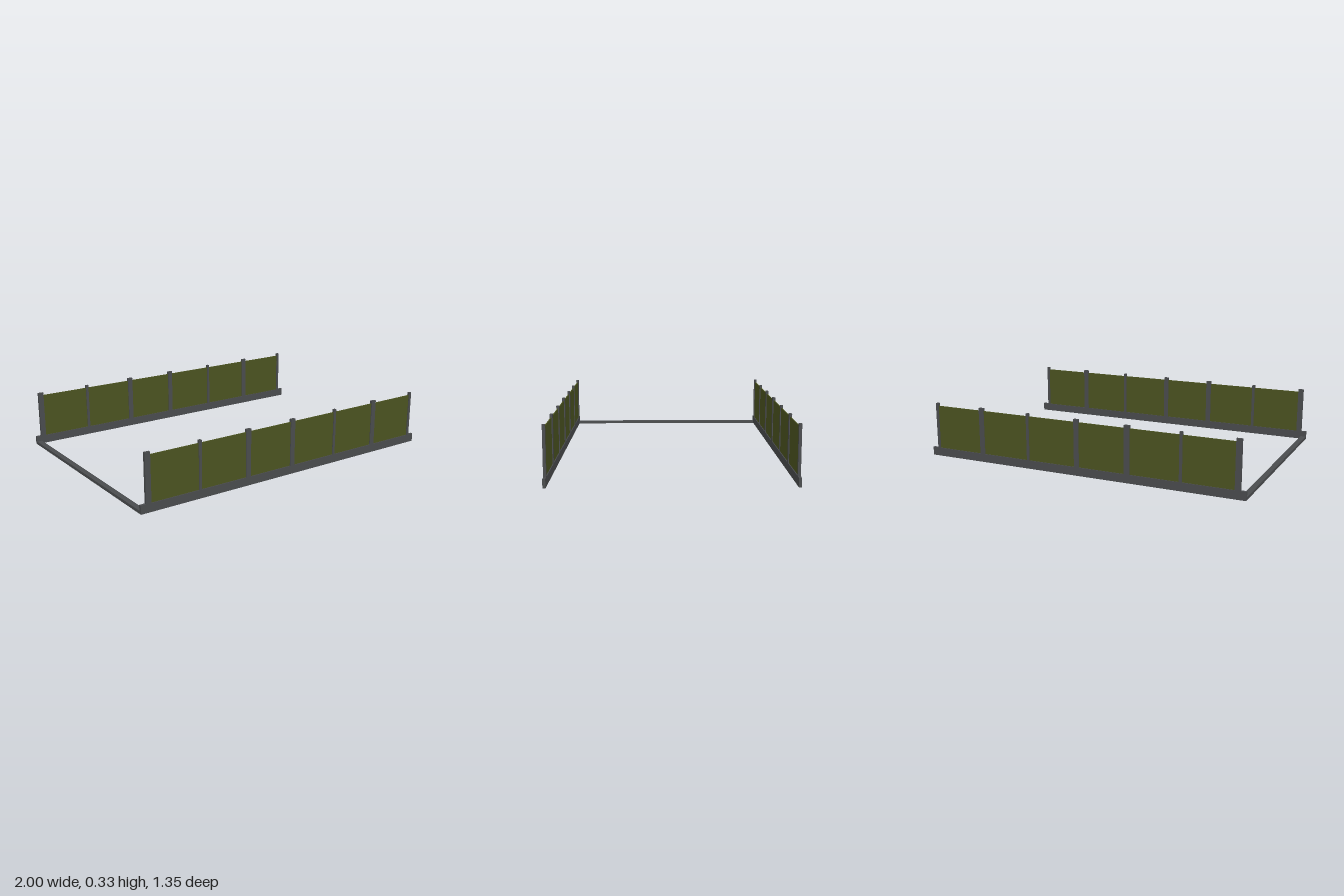
import * as THREE from 'three';

const steel = new THREE.MeshStandardMaterial({ color: 0x4a4c4e });
steel.name = 'steel grey';
const olive = new THREE.MeshStandardMaterial({ color: 0x4b5320 });
olive.name = 'olive green';

// Box given by its minimum and maximum on each axis
function box(name, material, [x0, x1], [y0, y1], [z0, z1]) {
  const mesh = new THREE.Mesh(new THREE.BoxGeometry(x1 - x0, y1 - y0, z1 - z0), material);
  mesh.position.set((x0 + x1) / 2, (y0 + y1) / 2, (z0 + z1) / 2);
  mesh.name = name;
  return mesh;
}

// Left and right edges of each post; wide and narrow posts are mixed
const posts = [
  [-0.968, -0.936], [-0.641, -0.624], [-0.331, -0.299], [-0.016, 0.014],
  [0.31, 0.326], [0.619, 0.651], [0.946, 0.963],
];
const curbTop = 0.05, outer = 0.673, inner = 0.657;

function fence(name, side) {
  const group = new THREE.Group();
  group.name = name;
  const depth = side > 0 ? [inner, outer] : [-outer, -inner];
  const mid = side * (inner + outer) / 2;

  group.add(box('curb', steel, [-1, 1], [0, curbTop], depth));
  posts.forEach((post, i) => {
    group.add(box('post', steel, post, [curbTop, 0.33], depth));
    // Thin panel filling the bay to the next post
    if (i < posts.length - 1) {
      group.add(box('panel', olive, [post[1], posts[i + 1][0]], [curbTop, 0.313], [mid - 0.003, mid + 0.003]));
    }
  });
  return group;
}

export function createModel() {
  const model = new THREE.Group();
  model.name = 'fencedEnclosure';
  model.add(fence('frontFence', 1), fence('backFence', -1));
  // Low sill joining the two fences at one end
  model.add(box('crossSill', steel, [-1, -0.967], [0, 0.017], [-inner, inner]));
  return model;
}
